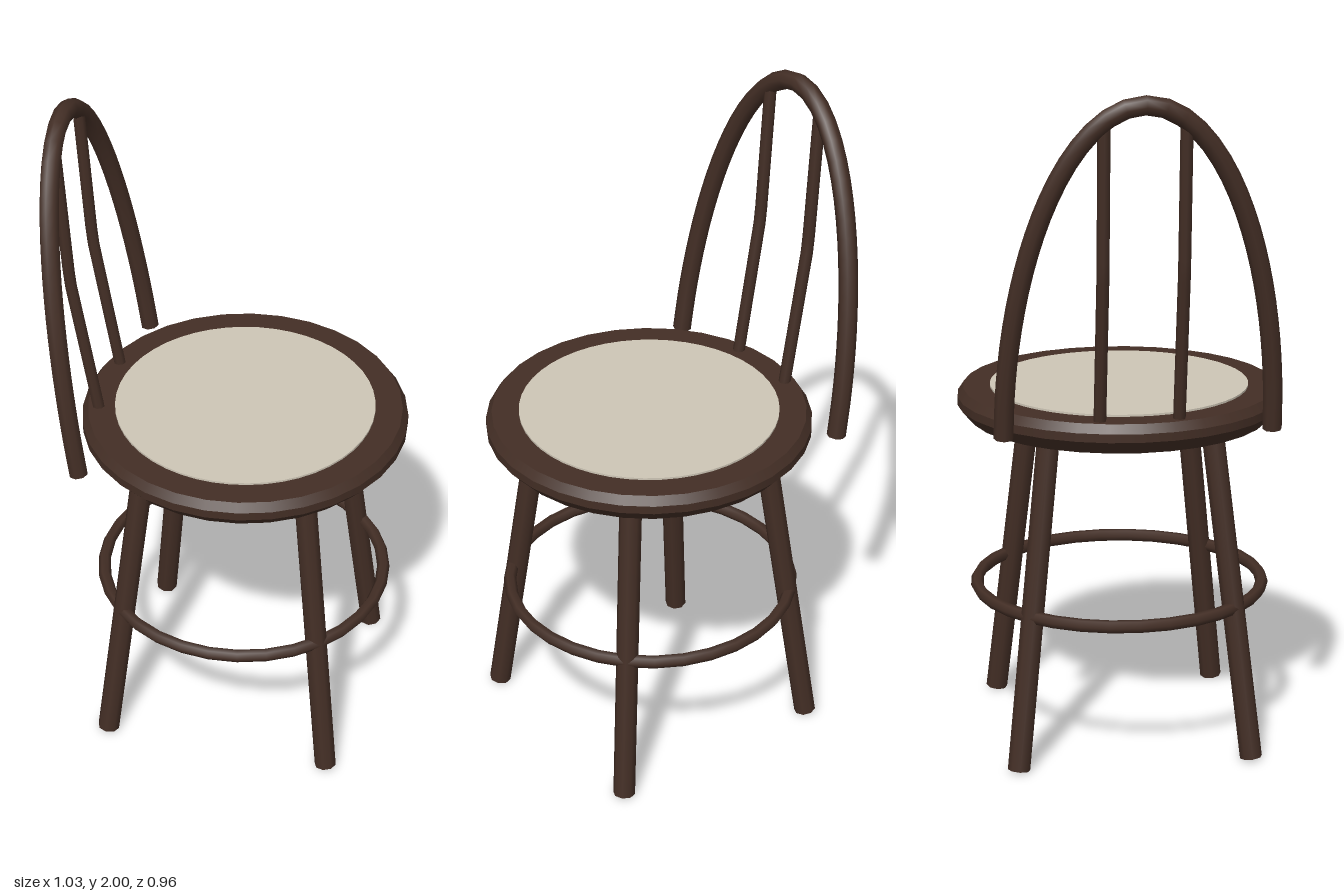
import * as THREE from 'three';

const CX = 0.035; // centre of the seat and legs

export function createModel() {
  const model = new THREE.Group();
  model.name = 'chair';
  const wood = new THREE.MeshStandardMaterial({ color: 0x432e25 });
  wood.name = 'dark wood';
  const woodFlat = wood;
  const fabric = new THREE.MeshStandardMaterial({ color: 0xcec6b6 });
  fabric.name = 'cream fabric';

  const add = (name, geometry, material = wood) => {
    const mesh = new THREE.Mesh(geometry, material);
    mesh.name = name;
    model.add(mesh);
    return mesh;
  };

  // Round rod with closed ends between two points
  const rod = (name, a, b, radius, sides) => {
    const dir = b.clone().sub(a);
    const mesh = add(name, new THREE.CylinderGeometry(radius, radius, dir.length(), sides));
    mesh.position.copy(a).add(b).multiplyScalar(0.5);
    mesh.quaternion.setFromUnitVectors(new THREE.Vector3(0, 1, 0), dir.normalize());
    return mesh;
  };

  // Seat: disc with bevelled rim, corners repeated to keep the edges sharp
  const rim = [[0, 0.98], [0.445, 0.98], [0.445, 0.98], [0.48, 1.02], [0.48, 1.02],
    [0.48, 1.045], [0.48, 1.045], [0.463, 1.07], [0.463, 1.07], [0, 1.07]];
  const seat = add('seat', new THREE.LatheGeometry(rim.map(([r, y]) => new THREE.Vector2(r, y)), 32), woodFlat);
  seat.position.x = CX;

  // Cushion inset
  const cushion = add('cushion', new THREE.CylinderGeometry(0.383, 0.383, 0.008, 48), fabric);
  cushion.position.set(CX, 1.072, 0);

  // Four splayed legs
  for (const sx of [-1, 1]) {
    for (const sz of [-1, 1]) {
      rod('leg',
        new THREE.Vector3(CX - 0.005 + sx * 0.345, 0.004, sz * 0.345),
        new THREE.Vector3(CX - 0.005 + sx * 0.238, 0.99, sz * 0.238), 0.033, 8);
    }
  }

  // Foot ring
  const ring = add('footRing', new THREE.TorusGeometry(0.43, 0.019, 6, 32));
  ring.rotation.x = Math.PI / 2;
  ring.position.set(CX - 0.003, 0.46, 0);

  // Backrest bow: half ellipse leaning backwards
  const bowPoint = (t) => {
    const a = Math.PI * t;
    const s = Math.sin(a);
    return new THREE.Vector3(-0.363 - 0.126 * s, 1.025 + 0.947 * s, 0.383 * Math.cos(a));
  };
  const bowPoints = [];
  for (let i = 0; i <= 24; i++) bowPoints.push(bowPoint(i / 24));
  const bowCurve = new THREE.CatmullRomCurve3(bowPoints);
  add('backBow', new THREE.TubeGeometry(bowCurve, 40, 0.028, 8));

  // Caps on the two ends of the bow
  for (const t of [0, 1]) {
    const cap = add('bowEnd', new THREE.CircleGeometry(0.028, 8));
    const p = bowCurve.getPointAt(t);
    const out = bowCurve.getTangentAt(t).multiplyScalar(t ? 1 : -1);
    cap.position.copy(p);
    cap.lookAt(p.clone().add(out));
  }

  // Two bent spindles inside the bow
  for (const z of [-0.113, 0.113]) {
    const path = new THREE.CurvePath();
    const pts = [[-0.378, 1.05], [-0.452, 1.5], [-0.478, 1.92]].map(([x, y]) => new THREE.Vector3(x, y, z));
    path.add(new THREE.LineCurve3(pts[0], pts[1]));
    path.add(new THREE.LineCurve3(pts[1], pts[2]));
    add('backSpindle', new THREE.TubeGeometry(path, 16, 0.018, 8));
  }

  return model;
}
